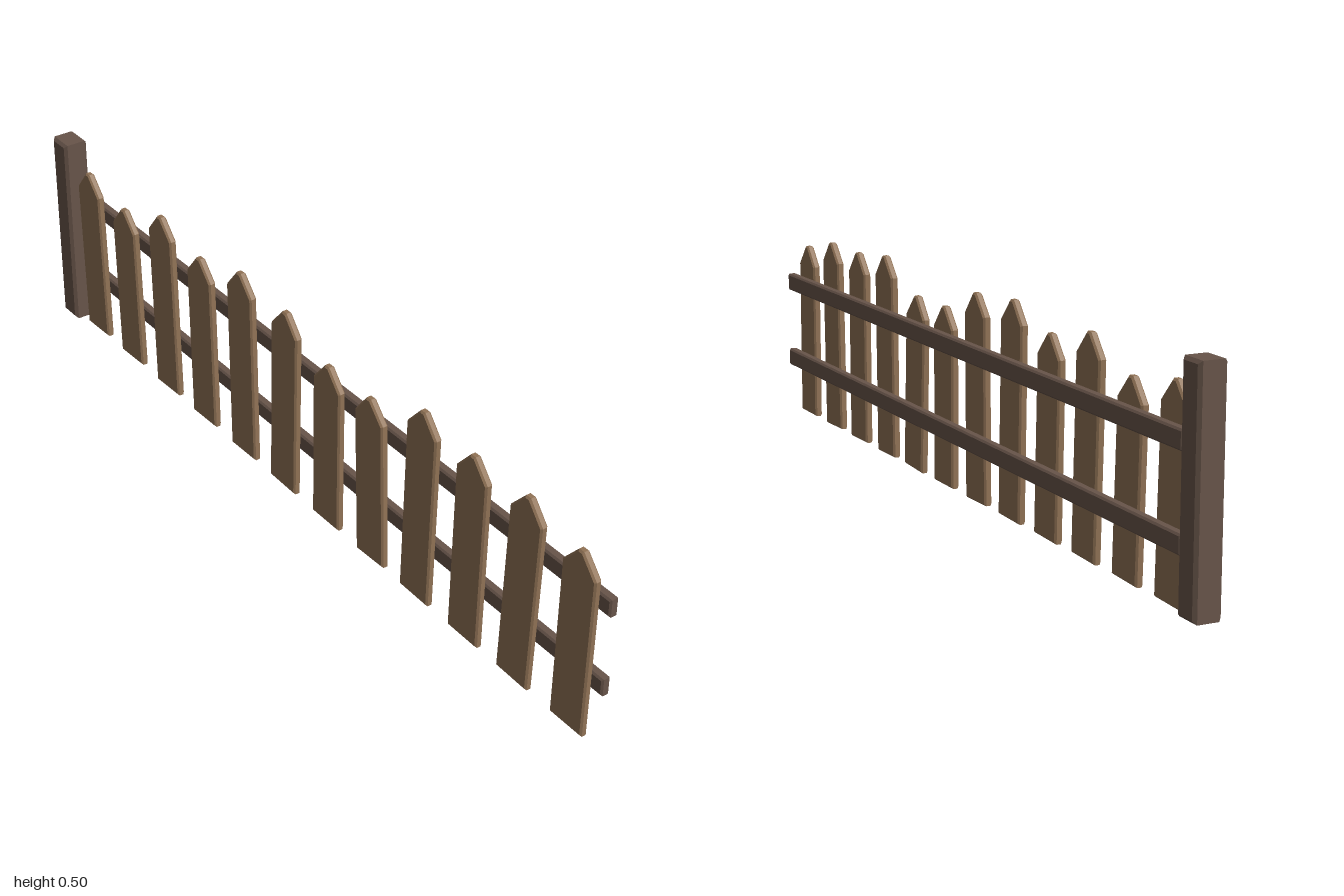
import * as THREE from 'three';

// Chamfered board: outline in xy, thickness from z0 to z1
function board(points, z0, z1, bevel) {
  const shape = new THREE.Shape(points.map(([x, y]) => new THREE.Vector2(x, y)));
  const geometry = new THREE.ExtrudeGeometry(shape, {
    depth: z1 - z0 - 2 * bevel,
    bevelEnabled: true,
    bevelThickness: bevel,
    bevelSize: bevel,
    bevelOffset: -bevel,
    bevelSegments: 1,
  });
  return geometry.translate(0, 0, z0 + bevel);
}

const rect = (x0, x1, y0, y1) => [[x0, y0], [x1, y0], [x1, y1], [x0, y1]];

export function createModel() {
  const fence = new THREE.Group();
  fence.name = 'picketFence';
  const lightWood = new THREE.MeshStandardMaterial({ name: 'lightWood', color: 0x917356 });
  const darkWood = new THREE.MeshStandardMaterial({ name: 'darkWood', color: 0x68554a });

  const add = (name, geometry, material) => {
    const mesh = new THREE.Mesh(geometry, material);
    mesh.name = name;
    fence.add(mesh);
    return mesh;
  };

  // End post
  add('post', board(rect(-1, -0.938, 0.003, 0.497), -0.031, 0.031, 0.007), darkWood);

  // Two rails behind the pickets
  add('lowerRail', board(rect(-0.945, 1, 0.12, 0.162), -0.031, -0.009, 0.004), darkWood);
  add('upperRail', board(rect(-0.945, 1, 0.318, 0.36), -0.031, -0.009, 0.004), darkWood);

  // Leaning pickets: foot x, peak x, peak height
  const pickets = [
    [-0.866, -0.879, 0.44], [-0.704, -0.718, 0.415], [-0.539, -0.553, 0.472],
    [-0.377, -0.388, 0.44], [-0.212, -0.222, 0.483], [-0.053, -0.045, 0.47],
    [0.113, 0.113, 0.415], [0.278, 0.261, 0.415], [0.433, 0.441, 0.483],
    [0.598, 0.602, 0.468], [0.757, 0.769, 0.47], [0.925, 0.925, 0.44],
  ];
  const half = 0.048;
  pickets.forEach(([foot, peak, top], i) => {
    const h = top - 0.003;
    const outline = [
      [-half, 0], [half, 0], [half, h - 0.048],
      [0.007, h], [-0.007, h], [-half, h - 0.048],
    ];
    const picket = add(`picket${i + 1}`, board(outline, -0.009, 0.009, 0.004), lightWood);
    picket.position.set(foot, 0.003, 0);
    picket.rotation.z = -Math.atan2(peak - foot, h);
  });

  // Rest the lowest picket corner on the ground
  const box = new THREE.Box3().setFromObject(fence, true);
  fence.children.forEach((part) => { part.position.y -= box.min.y; });
  return fence;
}
